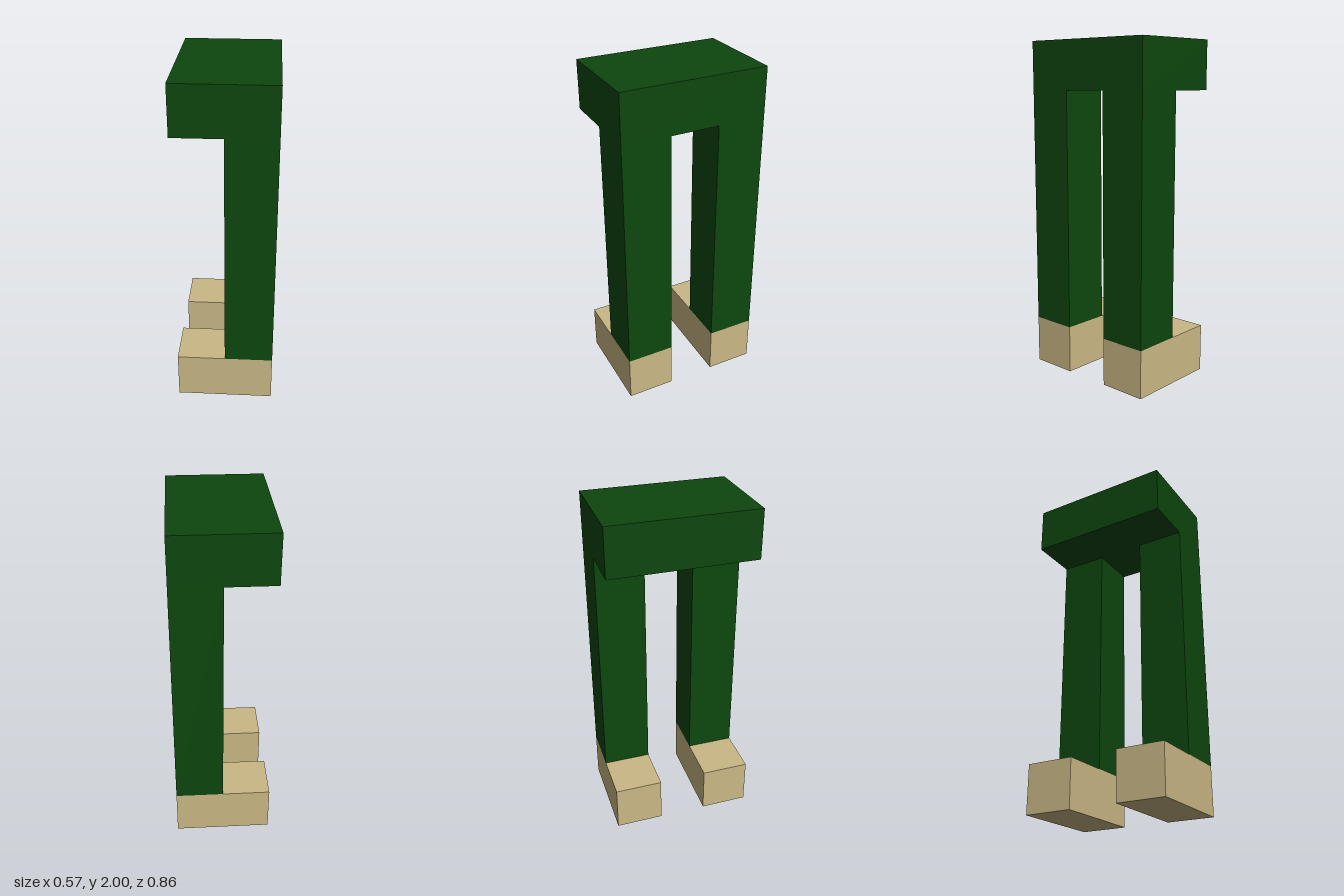
import * as THREE from 'three';

const U = 2 / 7; // block size: the model is 2 x 7 x 3 blocks

export function createModel() {
  const group = new THREE.Group();
  const green = new THREE.MeshStandardMaterial({ color: 0x0d470e });
  green.name = 'dark green cloth';
  const tan = new THREE.MeshStandardMaterial({ color: 0xcab885 });
  tan.name = 'tan shoe';

  // size and centre are given in blocks
  const block = (name, material, [w, h, d], [x, y, z]) => {
    const mesh = new THREE.Mesh(new THREE.BoxGeometry(w * U, h * U, d * U), material);
    mesh.position.set(x * U, y * U, z * U);
    mesh.name = name;
    group.add(mesh);
  };

  // hips bridging both legs and overhanging toward -x
  block('hips', green, [2, 1, 3], [0, 6.5, 0]);

  // a leg and a long shoe at each end
  for (const [side, z] of [['front', 1], ['back', -1]]) {
    block(side + 'Leg', green, [1, 5, 1], [0.5, 3.5, z]);
    block(side + 'Shoe', tan, [2, 1, 1], [0, 0.5, z]);
  }
  return group;
}
